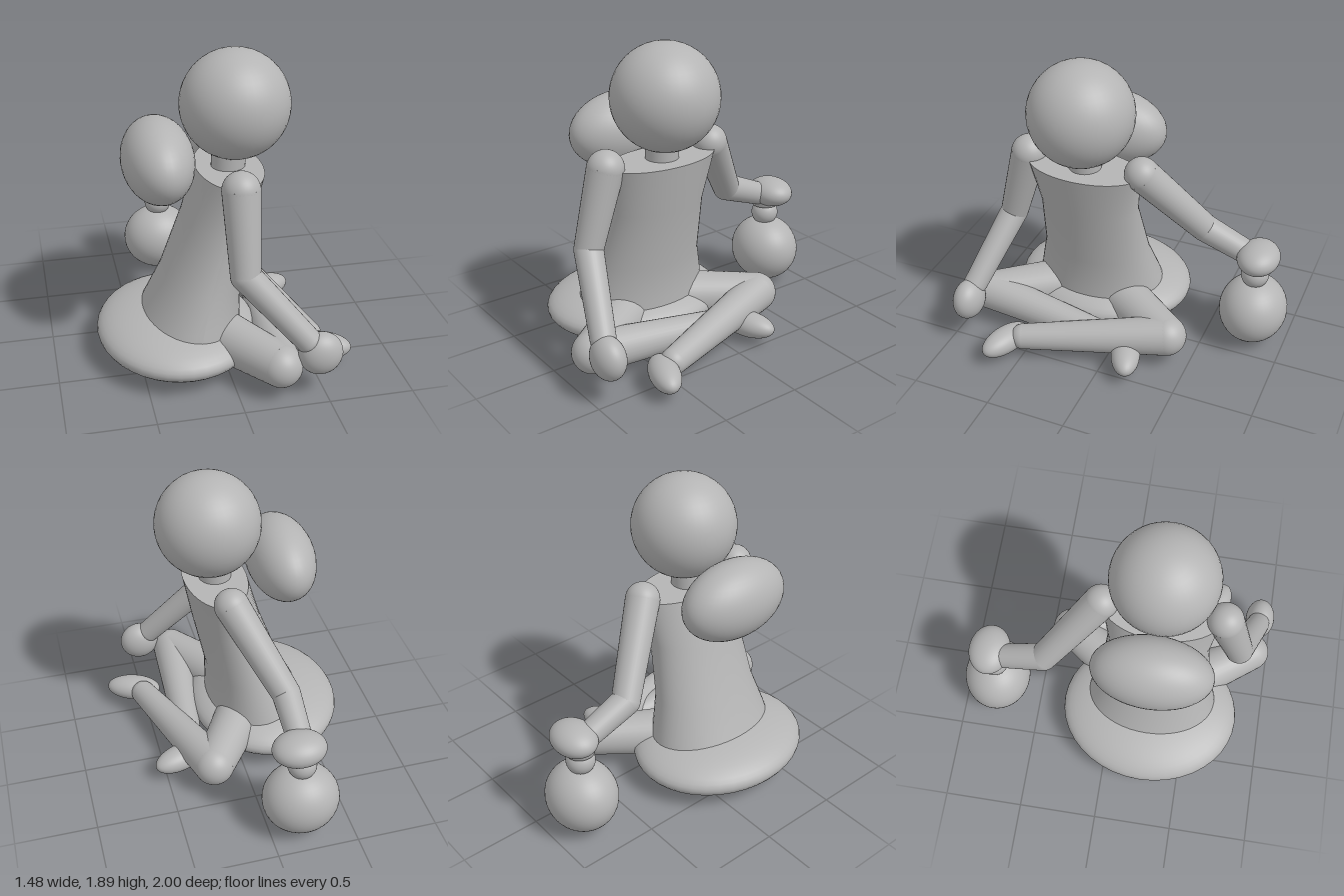
import * as THREE from 'three';

const grey = new THREE.MeshStandardMaterial({ color: 0xb4b4b4 });
grey.name = 'plain grey';

const V = (p) => new THREE.Vector3(...p);

function part(name, geometry) {
  const mesh = new THREE.Mesh(geometry, grey);
  mesh.name = name;
  return mesh;
}

// Sphere scaled to three radii, optionally turned about y
function ellipsoid(name, centre, radii, turn = 0) {
  const mesh = part(name, new THREE.SphereGeometry(1, 40, 24));
  mesh.position.set(...centre);
  mesh.scale.set(...radii);
  mesh.rotation.y = turn;
  return mesh;
}

// Tapered limb through joints [x, y, z, radius], rounded at each joint after 'firstBall'
function limb(name, joints, firstBall = 0) {
  const group = new THREE.Group();
  group.name = name;
  joints.forEach(([x, y, z, r], i) => {
    if (i >= firstBall) group.add(ellipsoid(name + 'Joint', [x, y, z], [r, r, r]));
    if (i === 0) return;
    const a = V(joints[i - 1].slice(0, 3));
    const b = V([x, y, z]);
    const dir = b.clone().sub(a);
    const seg = part(name + 'Segment',
      new THREE.CylinderGeometry(r, joints[i - 1][3], dir.length(), 32));
    seg.position.copy(a).add(b).multiplyScalar(0.5);
    seg.quaternion.setFromUnitVectors(new THREE.Vector3(0, 1, 0), dir.normalize());
    group.add(seg);
  });
  return group;
}

// Torso: oval rings [y, centre x, radius x, radius z] leaning forward
function torso() {
  const rings = [
    [0.2, -0.19, 0.32, 0.43],
    [0.32, -0.165, 0.29, 0.405],
    [0.53, -0.11, 0.24, 0.35],
    [0.9, -0.005, 0.21, 0.315],
    [1.2, 0.065, 0.195, 0.36],
  ];
  const n = rings.length - 1;
  const geo = new THREE.CylinderGeometry(1, 1, 1, 48, n);
  const pos = geo.attributes.position;
  for (let i = 0; i < pos.count; i++) {
    const [y, cx, rx, rz] = rings[Math.round((pos.getY(i) + 0.5) * n)];
    pos.setXYZ(i, cx + pos.getX(i) * rx, y, 0.255 + pos.getZ(i) * rz);
  }
  geo.computeVertexNormals();
  return part('torso', geo);
}

export function createModel() {
  const model = new THREE.Group();
  model.name = 'seatedFigure';

  // Cushion, body and head
  model.add(ellipsoid('cushion', [-0.255, 0.165, 0.255], [0.485, 0.16, 0.575]));
  model.add(torso());
  model.add(limb('neck', [[0.06, 1.15, 0.25, 0.1], [0.07, 1.35, 0.25, 0.1]], 2));
  model.add(ellipsoid('head', [0.1, 1.575, 0.25], [0.32, 0.32, 0.32]));
  model.add(ellipsoid('hairBun', [-0.35, 1.27, 0.25], [0.21, 0.24, 0.36]));

  // Arm resting on the knee
  model.add(limb('frontArm', [
    [0.05, 1.21, 0.63, 0.11], [0.05, 0.745, 0.76, 0.087], [0.39, 0.36, 0.89, 0.075]]));
  model.add(ellipsoid('frontHand', [0.46, 0.28, 0.905], [0.13, 0.13, 0.095]));

  // Arm reaching out to the jug
  model.add(limb('rearArm', [
    [0.05, 1.22, -0.11, 0.105], [-0.195, 0.765, -0.44, 0.087], [-0.195, 0.645, -0.74, 0.075]]));
  model.add(ellipsoid('rearHand', [-0.167, 0.66, -0.8], [0.163, 0.094, 0.132]));

  // Crossed legs, open thigh ends sunk in the torso
  model.add(limb('frontLeg', [
    [-0.05, 0.2, 0.44, 0.155], [0.24, 0.2, 0.87, 0.125], [0.32, 0.13, -0.08, 0.08]], 1));
  model.add(limb('rearLeg', [
    [-0.05, 0.2, 0.07, 0.155], [0.23, 0.2, -0.355, 0.125], [0.515, 0.14, 0.5, 0.08]], 1));
  model.add(ellipsoid('frontFoot', [0.4, 0.115, -0.15], [0.18, 0.078, 0.09], 0.35));
  model.add(ellipsoid('rearFoot', [0.565, 0.12, 0.6], [0.18, 0.08, 0.09], -0.35));

  // Round jug with a short neck and lip
  model.add(ellipsoid('jugBody', [-0.195, 0.243, -0.785], [0.235, 0.22, 0.215]));
  model.add(ellipsoid('jugNeck', [-0.195, 0.505, -0.78], [0.088, 0.085, 0.088]));
  const lip = part('jugLip', new THREE.CylinderGeometry(0.1, 0.085, 0.05, 32));
  lip.position.set(-0.195, 0.59, -0.78);
  model.add(lip);

  return model;
}
